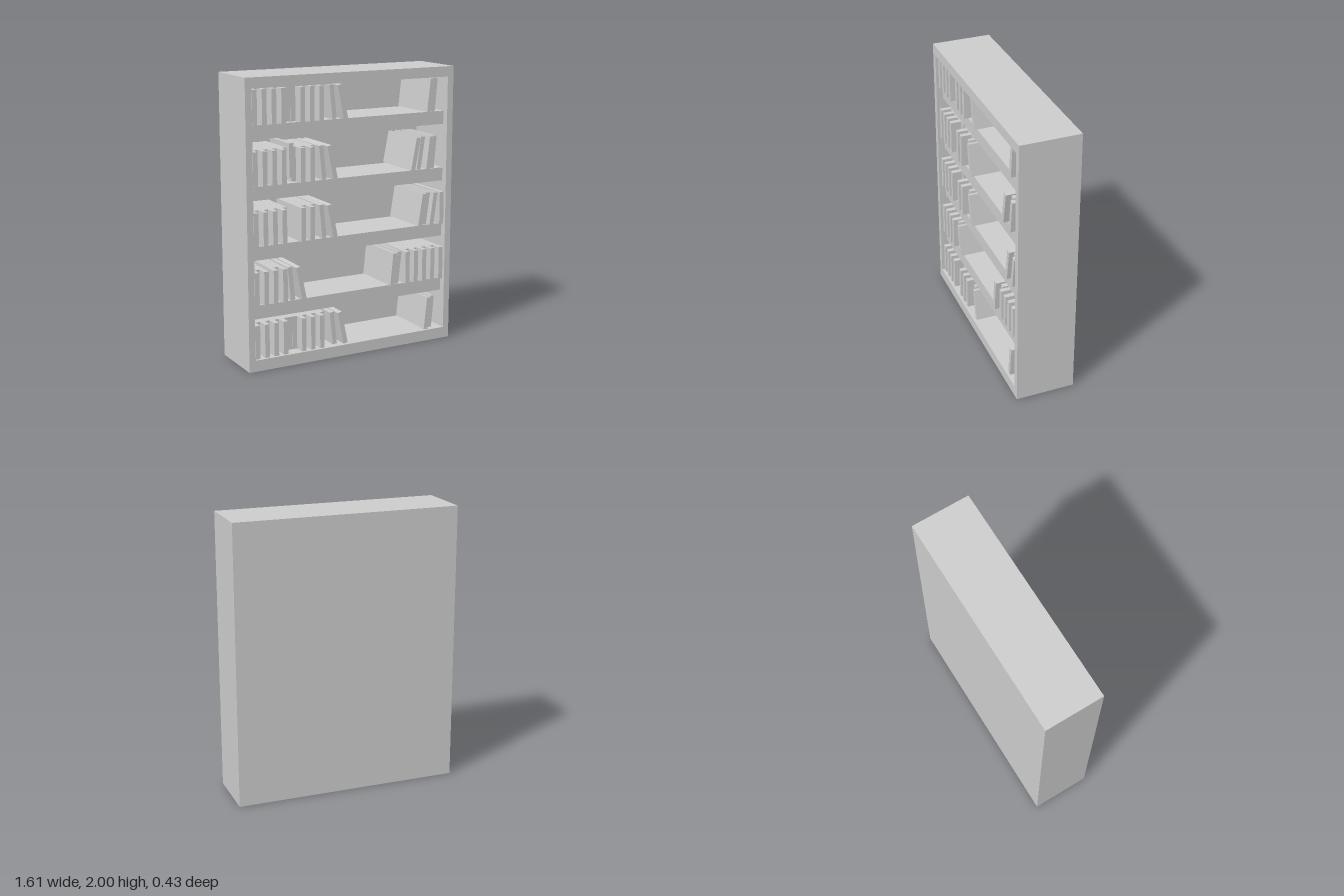
import * as THREE from 'three';

export function createModel() {
  const group = new THREE.Group();
  group.name = 'bookcase';
  const material = new THREE.MeshStandardMaterial({ color: 0xcccccc, flatShading: true });

  // Box given by its extents on each axis
  function box(name, x0, x1, y0, y1, z0, z1, parent = group) {
    const mesh = new THREE.Mesh(new THREE.BoxGeometry(x1 - x0, y1 - y0, z1 - z0), material);
    mesh.position.set((x0 + x1) / 2, (y0 + y1) / 2, (z0 + z1) / 2);
    mesh.name = name;
    parent.add(mesh);
    return mesh;
  }

  // Case: one frame with a rectangular opening, closed by a back panel
  const W = 0.807, D = 0.2125, IN = 0.76, BACK = -0.19;
  const outline = new THREE.Shape([[-W, 0], [W, 0], [W, 2], [-W, 2]].map(p => new THREE.Vector2(...p)));
  outline.holes.push(new THREE.Path([[-IN, 0.08], [-IN, 1.927], [IN, 1.927], [IN, 0.08]].map(p => new THREE.Vector2(...p))));
  const frameGeometry = new THREE.ExtrudeGeometry(outline, { depth: 2 * D, bevelEnabled: false });
  frameGeometry.translate(0, 0, -D);
  const frame = new THREE.Mesh(frameGeometry, material);
  frame.name = 'frame';
  group.add(frame);
  box('backPanel', -IN, IN, 0.08, 1.927, -D, BACK);

  // Shelves, set back slightly from the front of the frame
  for (const top of [0.45, 0.86, 1.27, 1.68]) box('shelf', -IN, IN, top - 0.095, top, BACK, 0.165);

  // Books: alternate ones are pushed further in
  const T = 0.0353, H = 0.237, LEFT = -0.75;
  function upright(parent, x, y, pushed) {
    const front = pushed ? 0.12 : 0.195;
    box('book', x, x + T - 0.001, y, y + H, Math.max(front - 0.38, BACK), front, parent);
  }

  // Leaning book: pivots on its lowest corner; positive angle tips the top to the left
  function leaning(parent, x, y, angle, front) {
    const pivot = new THREE.Group();
    pivot.name = 'leaningBook';
    pivot.position.set(x, y, 0);
    pivot.rotation.z = angle;
    const w = 0.033;
    box('book', angle > 0 ? 0 : -w, angle > 0 ? w : 0, 0, H, BACK, front, pivot);
    parent.add(pivot);
  }

  // Per row: floor height, slot range and gaps on the left, left leaning corners,
  // right leaning [corner, angle], first and last x of right upright books
  const rows = [
    { y: 1.68, slots: 16, gaps: [], lean: [-0.14, -0.066], right: [[0.635, 0.11], [0.685, 0.09]], stack: 0 },
    { y: 1.27, slots: 14, gaps: [8], lean: [-0.22, -0.146], right: [[0.508, 0.19], [0.573, 0.15], [0.635, 0.12], [0.685, 0.09]], stack: 0 },
    { y: 0.86, slots: 14, gaps: [8, 9], lean: [-0.22, -0.146], right: [[0.573, 0.16], [0.625, 0.14], [0.67, 0.14]], stack: 1 },
    { y: 0.45, slots: 7, gaps: [3], lean: [-0.465, -0.39], right: [[0.345, 0.1], [0.395, 0.12]], stack: 9 },
    { y: 0.08, slots: 16, gaps: [], lean: [-0.14, -0.066], right: [[0.635, 0.11], [0.685, 0.09]], stack: 0 },
  ];

  for (const row of rows) {
    const books = new THREE.Group();
    books.name = 'bookRow';
    group.add(books);
    for (let i = 0; i < row.slots; i++) {
      if (row.gaps.includes(i)) continue;
      upright(books, LEFT + i * T, row.y, i % 2 === 1 || i === 8);
    }
    row.lean.forEach((x, i) => leaning(books, x, row.y, i ? 0.2 : 0.1, i ? 0.19 : 0.165));
    row.right.forEach(([x, angle], i) => leaning(books, x, row.y, -angle, i % 2 ? 0.165 : 0.195));
    for (let i = 0; i < row.stack; i++) upright(books, 0.757 - (i + 1) * T, row.y, i % 2 === 1);
  }

  // Single book standing raised between its neighbours
  box('raisedBook', -0.452, -0.42, 1.3, 1.535, -0.17, 0.13);

  return group;
}
